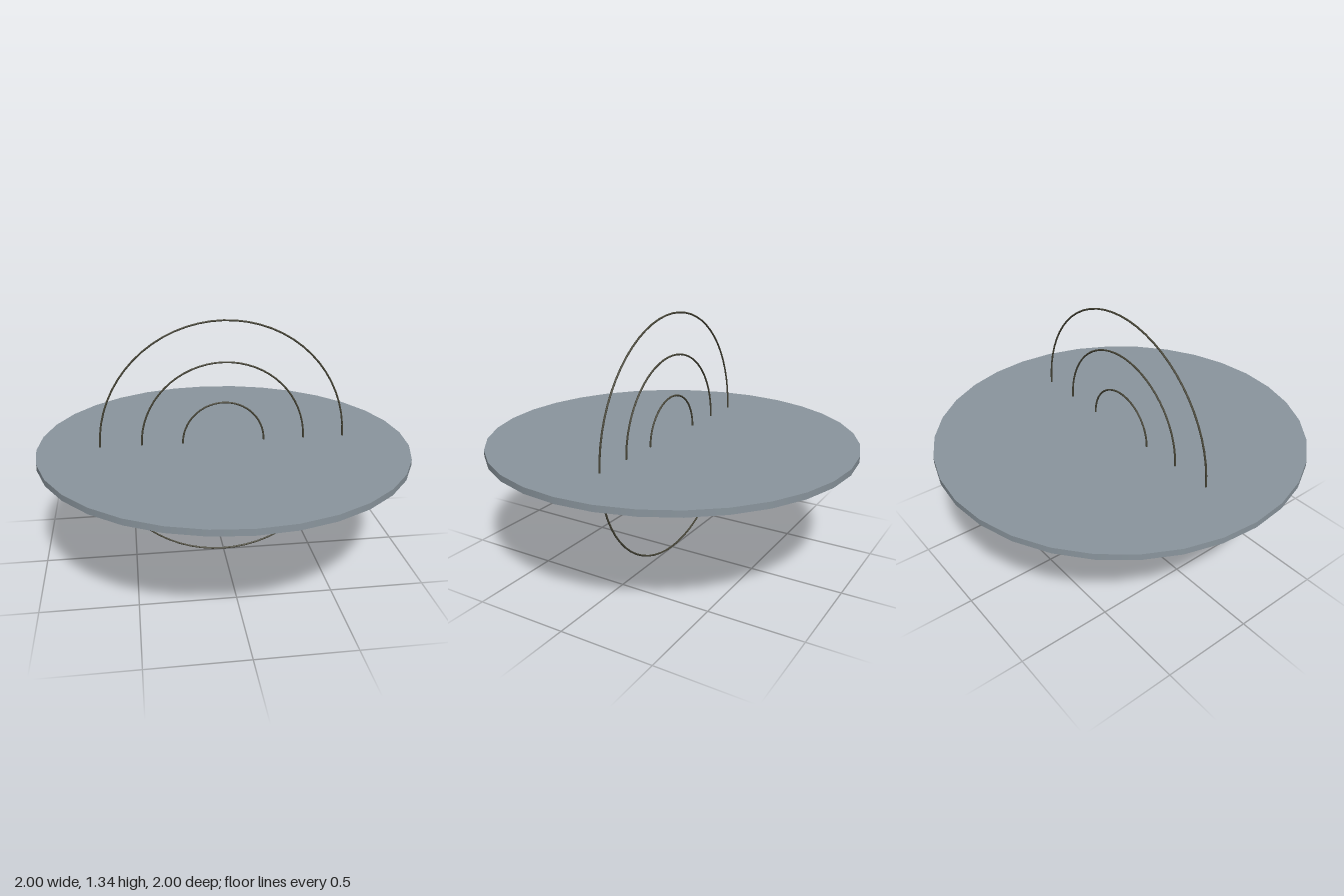
import * as THREE from 'three';

const RING_Y = 0.672; // height of the shared ring centre, level with the top of the disc
const TUBE = 0.005;
const DISC_THICKNESS = 0.033;

export function createModel() {
  const model = new THREE.Group();
  model.name = 'discWithRings';
  const slate = new THREE.MeshStandardMaterial({ color: 0x8b969e });
  const darkWire = new THREE.MeshStandardMaterial({ color: 0x464436 });

  // Flat round disc
  const disc = new THREE.Mesh(new THREE.CylinderGeometry(1, 1, DISC_THICKNESS, 32), slate);
  disc.name = 'disc';
  disc.position.y = RING_Y - DISC_THICKNESS / 2;
  model.add(disc);

  // Three concentric upright wire rings, evenly spaced
  const rings = new THREE.Group();
  rings.name = 'rings';
  rings.position.y = RING_Y;
  ['innerRing', 'middleRing', 'outerRing'].forEach((name, i) => {
    const radius = (2 / 9) * (i + 1);
    const ring = new THREE.Mesh(new THREE.TorusGeometry(radius, TUBE, 8, 64), darkWire);
    ring.name = name;
    rings.add(ring);
  });
  model.add(rings);

  return model;
}
